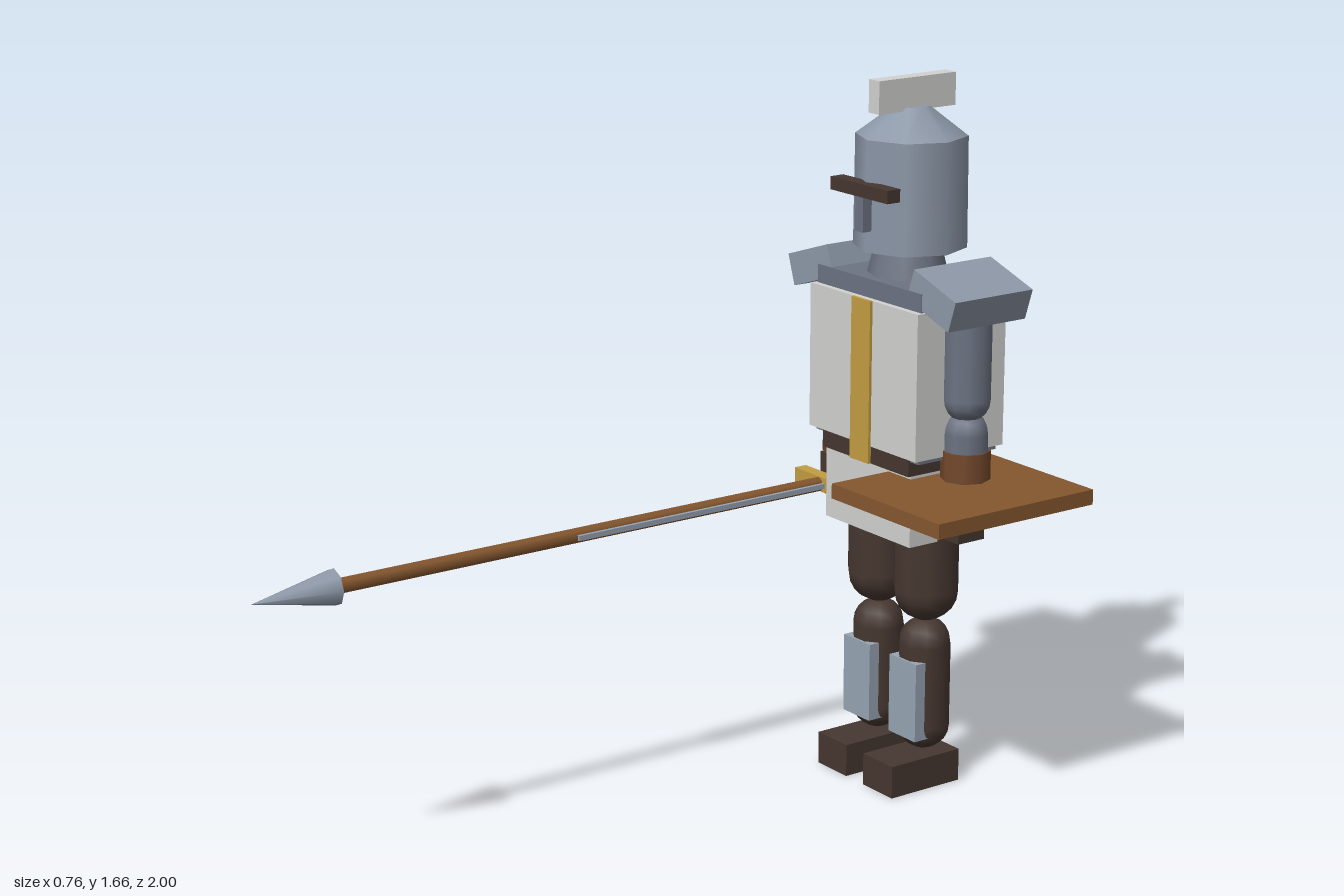
import * as THREE from 'three';

const paint = (name, color) => {
  const m = new THREE.MeshStandardMaterial({ color });
  m.name = name;
  return m;
};

export function createModel() {
  const root = new THREE.Group();
  root.name = 'armouredSpearman';

  const steel = paint('steel', 0x8d98a8);
  const paleSteel = paint('pale steel', 0x96a4b3);
  const darkSteel = paint('dark steel', 0x6c7382);
  const cloth = paint('white cloth', 0xd2d2d0);
  const gold = paint('gold', 0xc39d42);
  const leather = paint('dark leather', 0x463730);
  const cuffLeather = paint('cuff leather', 0x74492c);
  const wood = paint('wood', 0x85572f);

  const add = (name, geometry, material, x, y, z, parent = root) => {
    const mesh = new THREE.Mesh(geometry, material);
    mesh.name = name;
    mesh.position.set(x, y, z);
    parent.add(mesh);
    return mesh;
  };
  const box = (w, h, d) => new THREE.BoxGeometry(w, h, d);
  const tube = (top, bottom, h, sides = 8) => new THREE.CylinderGeometry(top, bottom, h, sides);
  // Capsule given by its full height
  const capsule = (r, h) => new THREE.CapsuleGeometry(r, h - 2 * r, 5, 10);

  // Figure: local origin is on its own centre line
  const body = new THREE.Group();
  body.name = 'body';
  body.position.set(-0.075, 0, -0.585);
  root.add(body);
  const part = (name, geometry, material, x, y, z) => add(name, geometry, material, x, y, z, body);

  // Helmet
  part('helmet', tube(0.128, 0.13, 0.255), steel, 0, 1.3975, -0.005);
  part('helmetTop', tube(0.04, 0.128, 0.066), steel, 0, 1.558, -0.005);
  part('crest', box(0.037, 0.075, 0.22), cloth, 0, 1.62, -0.005);
  part('visorSlit', box(0.205, 0.03, 0.036), leather, 0, 1.415, 0.127);
  part('noseGuard', box(0.028, 0.1, 0.03), darkSteel, 0, 1.37, 0.128);
  part('neck', tube(0.075, 0.095, 0.08), darkSteel, 0, 1.24, 0);

  // Torso
  part('chest', box(0.376, 0.393, 0.226), darkSteel, 0, 1.0115, 0);
  part('tabard', box(0.39, 0.34, 0.256), cloth, 0, 0.995, 0);
  for (const side of [1, -1]) {
    part('tabardStripe', box(0.068, 0.38, 0.008), gold, 0, 0.975, side * 0.131);
  }
  part('belt', box(0.315, 0.05, 0.234), leather, 0, 0.805, 0);
  part('skirt', box(0.31, 0.175, 0.215), cloth, 0, 0.6975, 0);

  // Limbs, mirrored left and right
  for (const side of [1, -1]) {
    const leg = side * 0.086;
    part('thigh', capsule(0.077, 0.34), leather, leg, 0.57, 0);
    part('shin', capsule(0.062, 0.322), leather, leg, 0.244, 0);
    part('greave', box(0.098, 0.19, 0.088), paleSteel, leg, 0.217, 0.021);
    part('boot', box(0.108, 0.078, 0.2), leather, leg, 0.039, 0.035);

    const arm = side * 0.217;
    part('upperArm', capsule(0.055, 0.3), darkSteel, arm, 1.055, 0);
    part('forearm', capsule(0.051, 0.23), darkSteel, arm, 0.815, 0);
    part('cuff', tube(0.057, 0.057, 0.105), cuffLeather, arm, 0.7875, 0);
    part('hand', box(0.076, 0.1, 0.076), leather, arm, 0.683, 0.01);
    const pauldron = part('pauldron', box(0.153, 0.075, 0.222), steel, side * 0.2185, 1.199, 0);
    pauldron.rotation.z = -side * 0.32;
  }

  // Shield, carried flat on the left arm
  add('shieldBoard', box(0.378, 0.035, 0.445), wood, 0.189, 0.755, -0.537);
  add('shieldBacking', box(0.304, 0.014, 0.375), cloth, 0.189, 0.7315, -0.533);
  add('shieldBoss', box(0.083, 0.03, 0.09), paleSteel, 0.189, 0.717, -0.533);

  // Spear, pointing forward in the right hand
  const gripX = -0.289, gripY = 0.668;
  const shaft = add('spearShaft', tube(0.018, 0.018, 1.8), wood, gripX, gripY, -0.1);
  const tip = add('spearTip', new THREE.ConeGeometry(0.042, 0.2, 8), steel, gripX, gripY, 0.9);
  shaft.rotation.x = tip.rotation.x = Math.PI / 2;

  // Sword, held in the same hand
  add('swordBlade', box(0.048, 0.012, 0.7), paleSteel, gripX, gripY, -0.16);
  add('swordGuard', box(0.146, 0.035, 0.032), gold, -0.307, gripY + 0.002, -0.515).position.x = gripX - 0.018;
  add('swordPommel', new THREE.SphereGeometry(0.026, 8, 6), gold, gripX, gripY, -0.645);

  return root;
}
